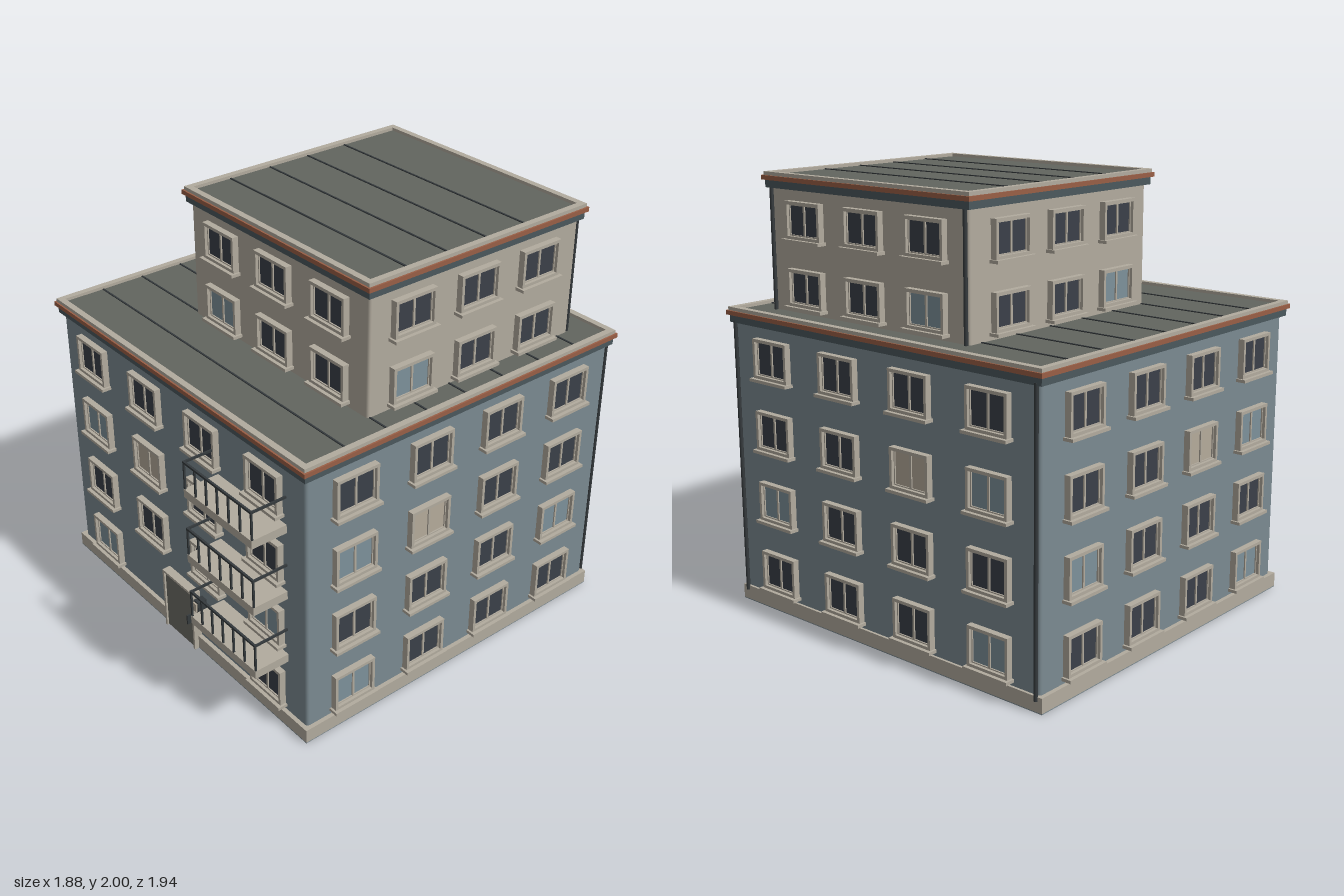
import * as THREE from 'three';
import { RoundedBoxGeometry } from 'three/addons/geometries/RoundedBoxGeometry.js';

function makeMaterial(name, color) {
  const m = new THREE.MeshStandardMaterial({ color });
  m.name = name;
  return m;
}

export function createModel() {
  const mat = {
    wall: makeMaterial('blue grey wall', 0x7b8a91),
    stone: makeMaterial('beige stone', 0xb2ab9e),
    glass: makeMaterial('dark glass', 0x3b4049),
    pale: makeMaterial('pale blue glass', 0x7d919b),
    curtain: makeMaterial('cream curtain', 0xb5ab9b),
    roof: makeMaterial('roof felt', 0x62655f),
    slate: makeMaterial('slate band', 0x4b585d),
    rust: makeMaterial('rust trim', 0x9a5f46),
    metal: makeMaterial('dark metal', 0x353a3d),
    door: makeMaterial('door grey', 0x6e6d66),
  };
  const model = new THREE.Group();
  model.name = 'apartmentBuilding';

  function add(parent, name, geometry, material, x = 0, y = 0, z = 0) {
    const mesh = new THREE.Mesh(geometry, material);
    mesh.name = name;
    mesh.position.set(x, y, z);
    parent.add(mesh);
    return mesh;
  }

  // Box given by its minimum and maximum corners
  function span(parent, name, material, x0, x1, y0, y1, z0, z1, radius = 0) {
    const size = [x1 - x0, y1 - y0, z1 - z0];
    const geo = radius ? new RoundedBoxGeometry(...size, 2, radius) : new THREE.BoxGeometry(...size);
    return add(parent, name, geo, material, (x0 + x1) / 2, (y0 + y1) / 2, (z0 + z1) / 2);
  }

  // Rectangular ring, extruded along +z
  function frameGeometry(w, h, border, depth) {
    const rect = (Type, a, b) => new Type([[-a, -b], [a, -b], [a, b], [-a, b]].map(p => new THREE.Vector2(...p)));
    const shape = rect(THREE.Shape, w / 2, h / 2);
    shape.holes.push(rect(THREE.Path, w / 2 - border, h / 2 - border));
    return new THREE.ExtrudeGeometry(shape, { depth, bevelEnabled: false });
  }

  // Horizontal ring around a block, grown outwards by "out"
  function ring(parent, name, material, b, out, y0, y1, border) {
    const geo = frameGeometry(b.x1 - b.x0 + out * 2, b.z1 - b.z0 + out * 2, border, y1 - y0);
    geo.rotateX(-Math.PI / 2);
    return add(parent, name, geo, material, (b.x0 + b.x1) / 2, y0, (b.z0 + b.z1) / 2);
  }

  // Window with frame, glass, mullion and sill, facing +z
  const WIDTH = 0.218;
  function addWindow(parent, x, y, h, glass) {
    const g = new THREE.Group();
    g.name = 'window';
    g.position.set(x, y, 0);
    parent.add(g);
    add(g, 'windowFrame', frameGeometry(WIDTH, h, 0.014, 0.03), mat.stone);
    add(g, 'windowPane', new THREE.BoxGeometry(WIDTH - 0.02, h - 0.02, 0.009), glass, 0, 0, 0.0055);
    for (const s of [-1, 1]) {
      add(g, 'sash', frameGeometry(WIDTH / 2 - 0.014, h - 0.028, 0.005, 0.008), mat.stone, s * (WIDTH / 4 - 0.007), 0, 0.008);
    }
    add(g, 'windowSill', new THREE.BoxGeometry(WIDTH + 0.02, 0.014, 0.047), mat.stone, 0, -h / 2 - 0.006, 0.0235);
  }

  // The four sides of a block; columns are given along x and along z
  function addFacades(parent, b, xs, zs, rows, h, paneOf) {
    const sides = [
      ['frontWindows', 0, b.z1, xs],
      ['leftWindows', Math.PI / 2, b.x1, zs.map(z => -z)],
      ['backWindows', Math.PI, -b.z0, xs.map(x => -x)],
      ['rightWindows', -Math.PI / 2, -b.x0, zs],
    ];
    for (const [name, turn, distance, cols] of sides) {
      const holder = new THREE.Group();
      holder.name = name;
      holder.rotation.y = turn;
      parent.add(holder);
      const face = new THREE.Group();
      face.name = name + 'Face';
      face.position.z = distance;
      holder.add(face);
      rows.forEach((y, r) => cols.forEach((u, c) => {
        const doorway = name === 'frontWindows' && r === 3 && (c === 1 || c === 2);
        if (!doorway) addWindow(face, u, y, h, paneOf(r, c));
      }));
    }
  }

  // Cornice, coping, recessed roof with seams, and rear drainpipes
  function addRoof(parent, b, top, seams, pipeBottom, pipeOut) {
    span(parent, 'corniceBand', mat.slate, b.x0 - 0.018, b.x1 + 0.018, top - 0.07, top - 0.036, b.z0 - 0.018, b.z1 + 0.018);
    ring(parent, 'rustTrim', mat.rust, b, 0.03, top - 0.036, top - 0.016, 0.05);
    ring(parent, 'coping', mat.stone, b, 0.022, top - 0.016, top, 0.03);
    span(parent, 'roofDeck', mat.roof, b.x0 - 0.01, b.x1 + 0.01, top - 0.037, top - 0.014, b.z0 - 0.01, b.z1 + 0.01);
    for (const z of seams) {
      span(parent, 'roofSeam', mat.metal, b.x0 + 0.01, b.x1 - 0.01, top - 0.014, top - 0.01, z - 0.004, z + 0.004);
    }
    const len = top - 0.06 - pipeBottom;
    for (const x of [b.x0 + 0.012, b.x1 - 0.012]) {
      add(parent, 'drainpipe', new THREE.CylinderGeometry(0.009, 0.009, len, 10), mat.metal, x, pipeBottom + len / 2, b.z0 - pipeOut);
    }
  }

  // Main block
  const low = { x0: -0.896, x1: 0.891, z0: -0.922, z1: 0.793 };
  const lower = new THREE.Group();
  lower.name = 'lowerBlock';
  model.add(lower);
  span(lower, 'lowerWalls', mat.wall, low.x0, low.x1, 0.03, 1.345, low.z0, low.z1, 0.015);
  span(lower, 'plinth', mat.stone, low.x0 - 0.02, low.x1 + 0.02, 0.004, 0.07, low.z0 - 0.012, low.z1 + 0.02);
  span(lower, 'underside', mat.wall, low.x0 - 0.02, low.x1 + 0.02, 0, 0.004, low.z0 - 0.012, low.z1 + 0.02);
  addRoof(lower, low, 1.4, [0, 1, 2, 3, 4, 5, 6].map(i => -0.718 + i * 0.217), 0.05, 0.012);
  addFacades(lower, low, [-0.642, -0.216, 0.21, 0.636], [0.55, 0.143, -0.264, -0.67],
    [1.188, 0.856, 0.522, 0.19], 0.18, (r, c) => {
      if (r === 1 && c === 1) return mat.curtain;
      return (r === 1 && c === 0) || (r === 2 && c === 3) || (r === 3 && c === 0) ? mat.pale : mat.glass;
    });

  // Set-back upper block
  const high = { x0: -0.414, x1: 0.769, z0: -0.787, z1: 0.379 };
  const upper = new THREE.Group();
  upper.name = 'upperBlock';
  model.add(upper);
  span(upper, 'upperWalls', mat.stone, high.x0, high.x1, 1.37, 1.945, high.z0, high.z1, 0.012);
  addRoof(upper, high, 2.0, [0, 1, 2, 3].map(i => -0.477 + i * 0.217), 1.386, 0.009);
  addFacades(upper, high, [-0.187, 0.177, 0.541], [0.158, -0.196, -0.55],
    [1.799, 1.501], 0.166, (r, c) => (r === 1 && c === 0 ? mat.pale : mat.glass));

  // Balconies with railings
  const bx0 = 0.305, bx1 = 0.769, bz = 0.967;
  for (const y of [1.015, 0.682, 0.349]) {
    const g = new THREE.Group();
    g.name = 'balcony';
    model.add(g);
    span(g, 'balconySlab', mat.stone, bx0, bx1, y, y + 0.04, low.z1 - 0.01, bz);
    span(g, 'frontRail', mat.metal, bx0, bx1, y + 0.167, y + 0.177, bz - 0.01, bz);
    for (const x of [bx0, bx1 - 0.008]) {
      span(g, 'sideRail', mat.metal, x, x + 0.008, y + 0.167, y + 0.177, low.z1 - 0.01, bz - 0.01);
    }
    for (let i = 0; i < 7; i++) {
      const x = bx0 + 0.004 + i * (bx1 - bx0 - 0.008) / 6;
      span(g, 'baluster', mat.metal, x - 0.004, x + 0.004, y + 0.04, y + 0.167, bz - 0.009, bz - 0.001);
    }
  }

  // Entrance door with surround and handle
  const entrance = new THREE.Group();
  entrance.name = 'entrance';
  model.add(entrance);
  span(entrance, 'doorLeaf', mat.door, -0.11, 0.106, 0.004, 0.31, low.z1 - 0.01, 0.826);
  for (const x of [-0.122, 0.106]) span(entrance, 'doorJamb', mat.stone, x, x + 0.012, 0, 0.322, low.z1 - 0.01, 0.835);
  span(entrance, 'doorLintel', mat.stone, -0.11, 0.106, 0.31, 0.322, low.z1 - 0.01, 0.835);
  span(entrance, 'doorHandle', mat.metal, 0.079, 0.087, 0.135, 0.185, 0.826, 0.847);

  // Wall lamp beside the door
  span(entrance, 'lampBody', mat.metal, 0.134, 0.17, 0.248, 0.306, low.z1 - 0.01, 0.84);
  span(entrance, 'lampGlass', mat.curtain, 0.14, 0.164, 0.255, 0.299, 0.84, 0.848);

  return model;
}
